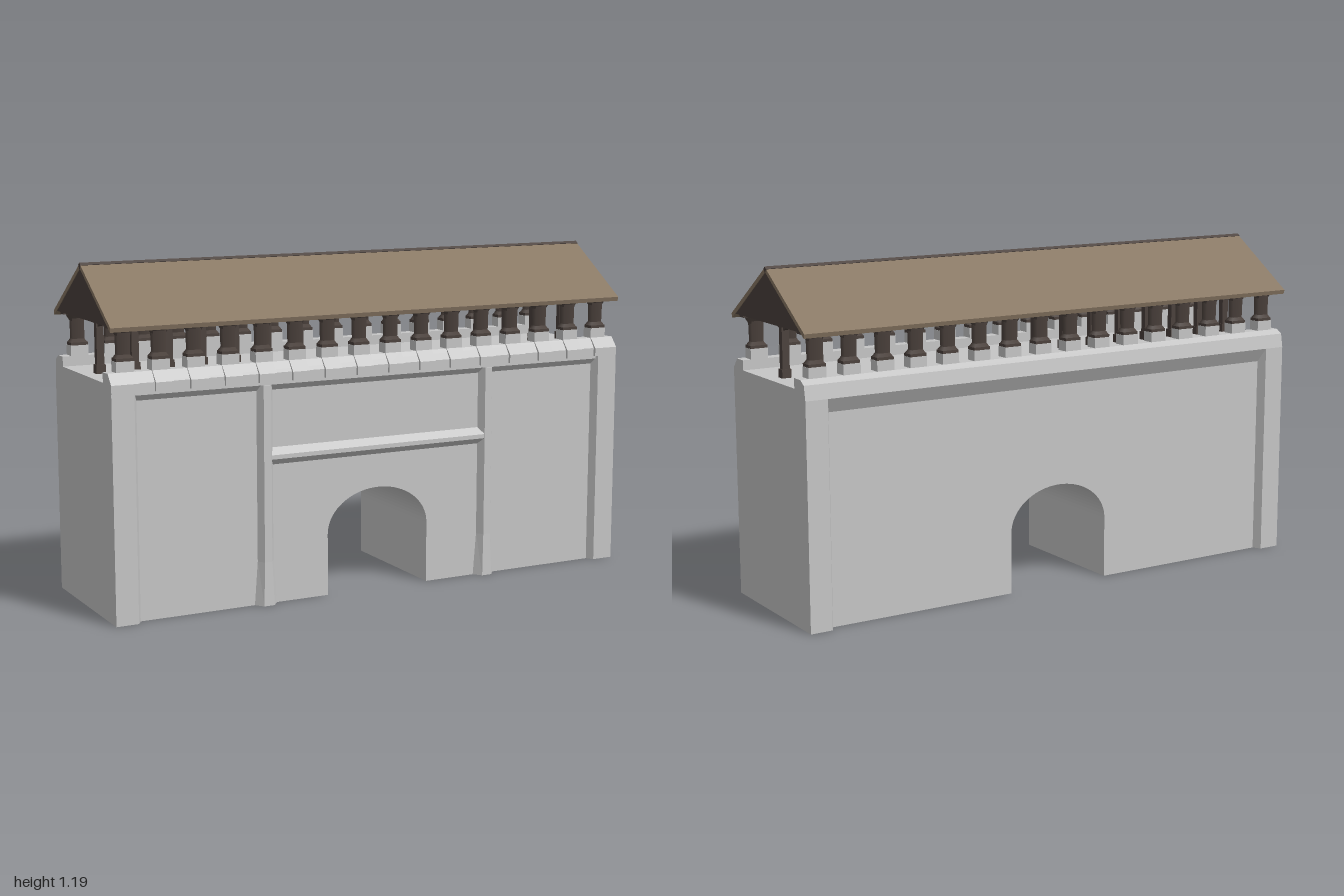
import * as THREE from 'three';

const mat = (name, color) => {
  const m = new THREE.MeshStandardMaterial({ color });
  m.name = name;
  return m;
};

export function createModel() {
  const stone = mat('pale stone', 0xc6c6c6);
  const timber = mat('dark timber', 0x4b413c);
  const tiles = mat('brown roof', 0x887763);
  const model = new THREE.Group();

  const add = (name, geo, material, parent = model) => {
    const mesh = new THREE.Mesh(geo, material);
    mesh.name = name;
    parent.add(mesh);
    return mesh;
  };
  const polygon = pts => new THREE.Shape(pts.map(p => new THREE.Vector2(p[0], p[1])));
  // Prism with a (z, y) section, running along x and centred on cx
  const alongX = (pts, length, cx = 0) =>
    new THREE.ExtrudeGeometry(polygon(pts), { depth: length, bevelEnabled: false })
      .translate(0, 0, -length / 2).rotateY(-Math.PI / 2).translate(cx, 0, 0);
  // Prism with an (x, z) section, rising from y = 0
  const alongY = (pts, height, steps = 1) =>
    new THREE.ExtrudeGeometry(polygon(pts.map(([x, z]) => [x, -z])), { depth: height, steps, bevelEnabled: false })
      .rotateX(-Math.PI / 2);
  const box = (w, h, d, x, y, z) => new THREE.BoxGeometry(w, h, d).translate(x, y + h / 2, z);
  // Square post section that changes width between bottom and top
  const taper = (bottom, top, h, x, y, z, depthScale = 1) =>
    new THREE.CylinderGeometry(top / Math.SQRT2, bottom / Math.SQRT2, h, 4)
      .toNonIndexed().rotateY(Math.PI / 4).scale(1, 1, depthScale).translate(x, y + h / 2, z);

  // Wall core with the arched passage
  const outline = new THREE.Shape();
  outline.moveTo(-1, 0);
  outline.lineTo(-0.2, 0);
  outline.lineTo(-0.2, 0.22);
  outline.absellipse(0, 0.22, 0.2, 0.15, Math.PI, 0, true);
  outline.lineTo(0.2, 0);
  outline.lineTo(1, 0);
  outline.lineTo(1, 0.81);
  outline.lineTo(-1, 0.81);
  const core = new THREE.ExtrudeGeometry(outline, { depth: 0.5, bevelEnabled: false, curveSegments: 18 });
  add('wallCore', core.translate(0, 0, -0.25), stone);

  // Corner piers with a chamfered inner edge
  for (const s of [1, -1]) {
    for (const [f, depth, height] of [[1, 0.276, 0.81], [-1, 0.279, 0.78]]) {
      add('cornerPier', alongY([[s, f * 0.24], [s, f * depth], [s * 0.92, f * depth],
        [s * 0.904, f * 0.25], [s * 0.904, f * 0.24]], height), stone);
    }
    // Slim pilasters, flared at the foot
    const pilaster = alongY([[-0.03, 0.24], [-0.03, 0.25], [-0.014, 0.275], [0.014, 0.275],
      [0.03, 0.25], [0.03, 0.24]], 0.77, 5);
    const p = pilaster.attributes.position;
    for (let i = 0; i < p.count; i++) {
      if (p.getY(i) < 0.01) p.setXYZ(i, p.getX(i) * 1.4, p.getY(i), p.getZ(i) + (p.getZ(i) > 0.26 ? 0.005 : 0));
    }
    pilaster.computeVertexNormals();
    add('pilaster', pilaster.translate(s * 0.441, 0, 0), stone);
  }

  // Ledge above the gate
  add('gateLedge', alongX([[0.24, 0.49], [0.25, 0.49], [0.275, 0.512], [0.275, 0.527],
    [0.25, 0.55], [0.24, 0.55]], 0.85), stone);

  // Parapets and cornices either side of the walkway
  add('frontParapet', alongX([[0.2, 0.75], [0.25, 0.75], [0.267, 0.77], [0.267, 0.81],
    [0.243, 0.845], [0.2, 0.845]], 2), stone);
  add('backParapet', alongX([[-0.2, 0.73], [-0.25, 0.73], [-0.279, 0.78], [-0.27, 0.83],
    [-0.245, 0.845], [-0.2, 0.845]], 2), stone);
  const tooth = [[0.24, 0.78], [0.277, 0.78], [0.277, 0.81], [0.246, 0.846], [0.24, 0.846]];
  for (const s of [1, -1]) add('pierCap', alongX(tooth, 0.08, s * 0.96), stone);

  // Repeating bays: cornice teeth, plinths, eave posts and ridge posts
  for (let i = 0; i < 16; i++) {
    const x = -0.9375 + i * 0.125;
    const bay = new THREE.Group();
    bay.name = 'bay';
    model.add(bay);
    add('corniceTooth', alongX(tooth, 0.064, x), stone, bay);
    for (const z of [0.2225, -0.2225]) {
      add('plinth', box(0.064, 0.036, 0.045, x, 0.845, z), stone, bay);
      add('postFoot', box(0.062, 0.01, 0.042, x, 0.881, z), timber, bay);
      add('postFlare', taper(0.058, 0.042, 0.012, x, 0.891, z, 0.7), timber, bay);
      add('eavePost', taper(0.042, 0.046, 0.1, x, 0.9, z, 0.62), timber, bay);
      add('postCapital', taper(0.046, 0.085, 0.035, x, 0.966, z, 0.5), timber, bay);
    }
    add('ridgePostFoot', box(0.034, 0.03, 0.03, x, 0.81, 0), timber, bay);
    add('ridgePost', box(0.026, 0.19, 0.022, x, 0.812, 0), timber, bay);
    for (const s of [1, -1]) {
      add('ridgeBrace', alongX([[0, 0.966], [s * 0.066, 0.997], [s * 0.066, 1.004], [s * 0.05, 1.004],
        [0, 0.98]], 0.016, x), timber, bay);
    }
  }

  // Roof: timber gable body, two brown slopes, eave beams and ridge pole
  add('gableBody', alongX([[-0.252, 0.999], [0.252, 0.999], [0, 1.168]], 1.996), timber);
  for (const s of [1, -1]) {
    add('roofSlope', alongX([[0, 1.184], [s * 0.282, 0.998], [s * 0.278, 0.983], [0, 1.168]], 2), tiles);
    add('eaveBeam', box(1.98, 0.012, 0.03, 0, 0.99, s * 0.2225), timber);
  }
  add('ridgePole', alongX([[0, 1.187], [0.01, 1.179], [0, 1.165], [-0.01, 1.179]], 2.002), timber);

  return model;
}
